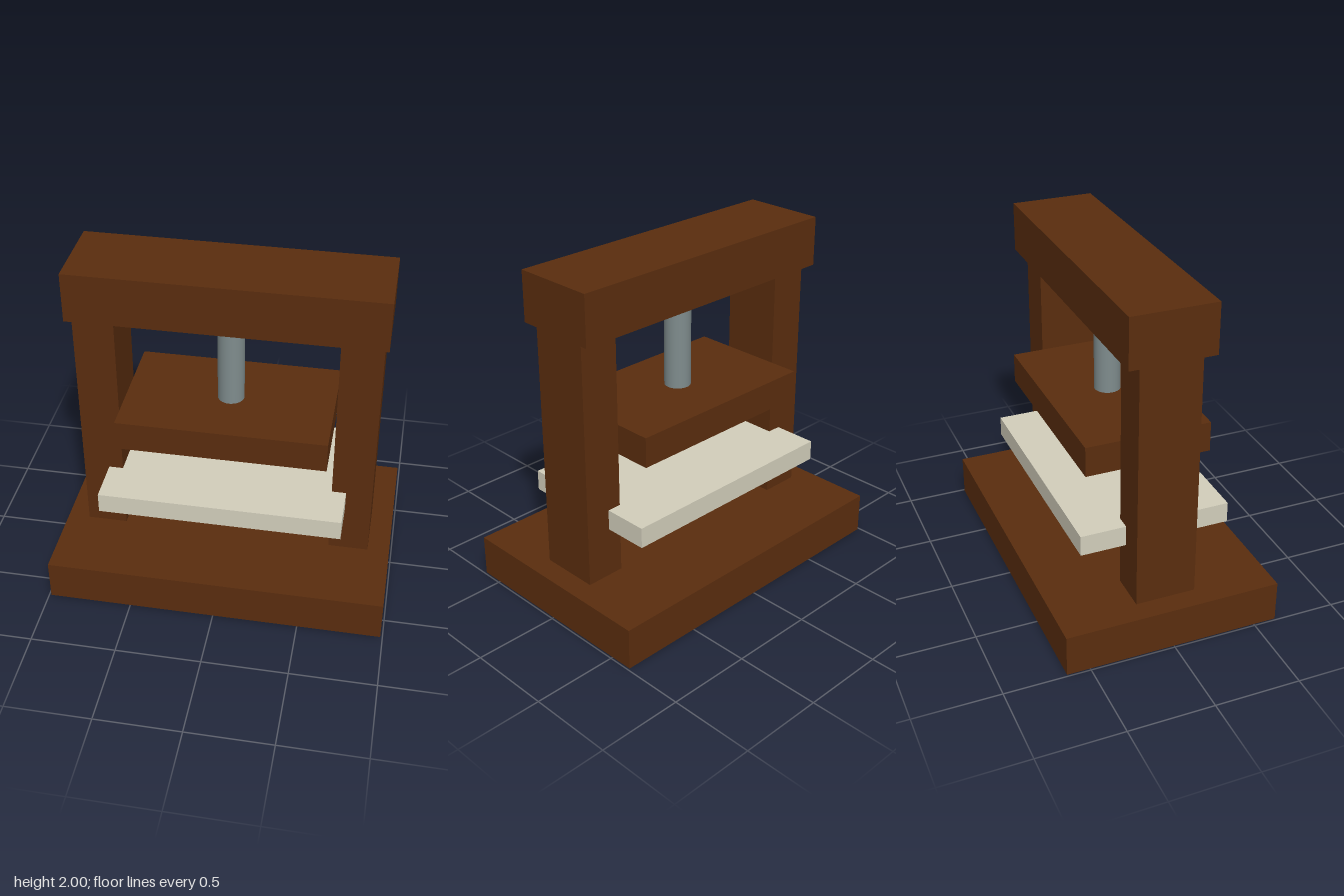
import * as THREE from 'three';

export function createModel() {
  const press = new THREE.Group();
  press.name = 'press';

  const makeMaterial = (name, color) => {
    const material = new THREE.MeshStandardMaterial({ color });
    material.name = name;
    return material;
  };
  const wood = makeMaterial('dark wood', 0x5a2d0e);
  const steel = makeMaterial('grey steel', 0x7f8c8d);
  const pale = makeMaterial('pale cream', 0xd2cebb);

  const add = (name, geometry, material, x, y) => {
    const mesh = new THREE.Mesh(geometry, material);
    mesh.name = name;
    mesh.position.set(x, y, 0);
    press.add(mesh);
  };

  // Box centred on z = 0, given its width, depth and vertical extent
  const addBox = (name, material, x, width, depth, bottom, top) =>
    add(name, new THREE.BoxGeometry(width, top - bottom, depth), material, x, (bottom + top) / 2);

  // Frame: base, two posts and the top beam
  addBox('base', wood, 0, 1.975, 1.27, 0, 0.247);
  for (const side of [-1, 1]) {
    addBox(side > 0 ? 'leftPost' : 'rightPost', wood, side * 0.741, 0.235, 0.353, 0.247, 1.708);
  }
  addBox('topBeam', wood, 0, 1.763, 0.492, 1.708, 2);

  // Pressing plate and the pale bed let into the posts
  addBox('pressPlate', wood, 0, 1.2, 0.738, 0.968, 1.147);
  addBox('bed', pale, 0, 1.414, 0.884, 0.545, 0.667);

  // Screw between the beam and the plate
  add('screw', new THREE.CylinderGeometry(0.077, 0.077, 0.561, 32), steel, 0, 1.4275);

  return press;
}
